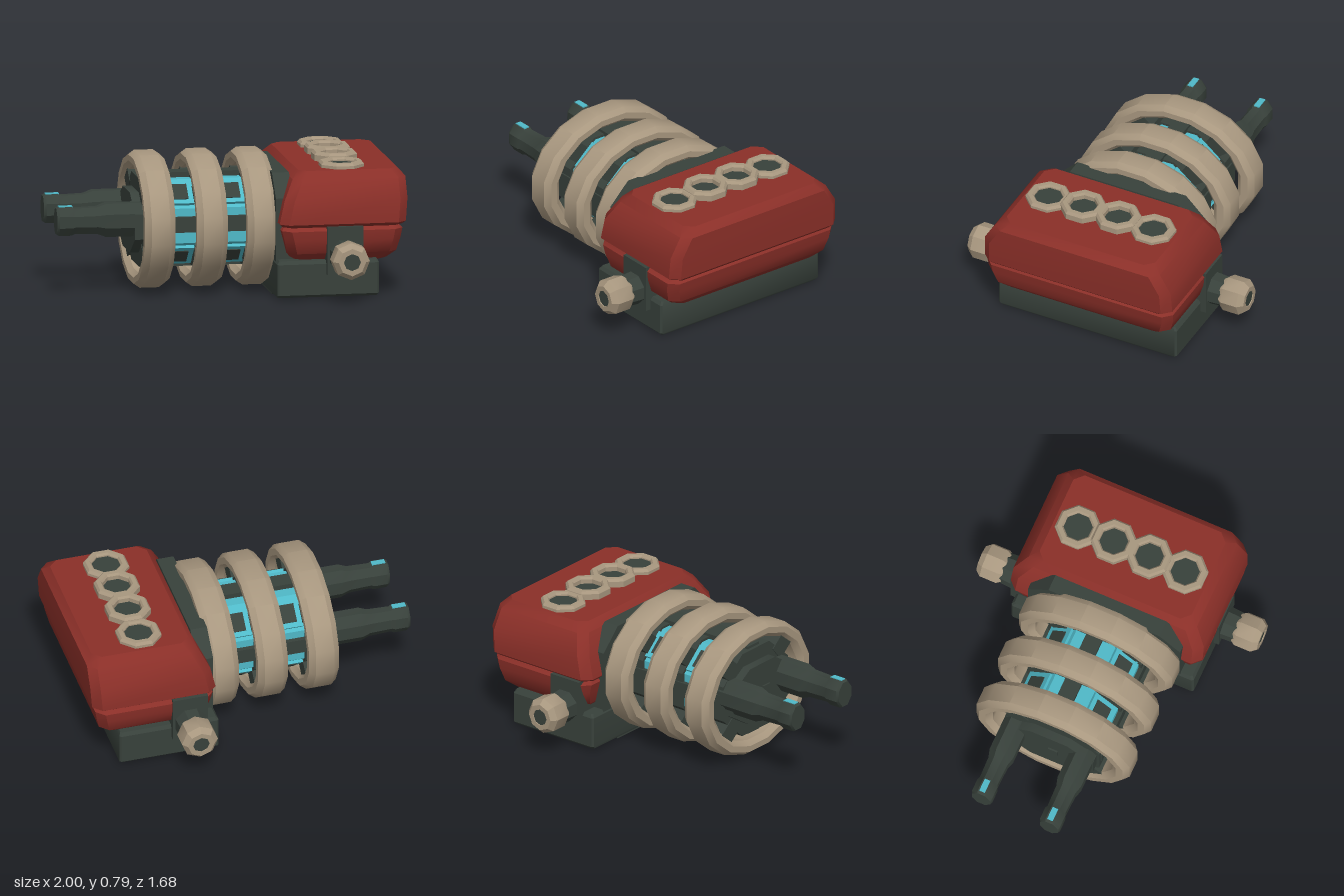
import * as THREE from 'three';
import { toCreasedNormals } from 'three/addons/utils/BufferGeometryUtils.js';

const mat = (name, color) => {
  const m = new THREE.MeshStandardMaterial({ color });
  m.name = name;
  return m;
};

export function createModel() {
  const red = mat('red paint', 0x8a2f28);
  const tan = mat('tan metal', 0xa8977f);
  const dark = mat('dark metal', 0x38413b);
  const cyan = mat('cyan glow', 0x4fb9c8);
  const model = new THREE.Group();

  const add = (name, geo, material, x = 0, y = 0, z = 0, parent = model) => {
    const mesh = new THREE.Mesh(toCreasedNormals(geo, 0.6), material);
    mesh.name = name;
    mesh.position.set(x, y, z);
    parent.add(mesh);
    return mesh;
  };
  const box = (w, h, d) => new THREE.BoxGeometry(w, h, d);
  const lathe = (pts, sides, turn = 0) =>
    new THREE.LatheGeometry(pts.map(p => new THREE.Vector2(...p)), sides, turn);

  // Stacked chamfered rectangles; level = [y, x0, x1, half depth, corner cut]
  const loft = (levels) => {
    const pos = [], idx = [];
    for (const [y, x0, x1, h, c] of levels) {
      const k = h - c;
      [[x1, k], [x1, -k], [x1 - c, -h], [x0 + c, -h], [x0, -k], [x0, k], [x0 + c, h], [x1 - c, h]]
        .forEach(([x, z]) => pos.push(x, y, z));
    }
    const top = (levels.length - 1) * 8;
    for (let j = 0; j < top; j += 8) {
      for (let i = 0; i < 8; i++) {
        const a = j + i, b = j + (i + 1) % 8;
        idx.push(a, b, b + 8, a, b + 8, a + 8);
      }
    }
    for (let i = 1; i < 7; i++) {
      idx.push(0, i + 1, i, top, top + i, top + i + 1);
    }
    const g = new THREE.BufferGeometry();
    g.setAttribute('position', new THREE.Float32BufferAttribute(pos, 3));
    g.setIndex(idx);
    g.computeVertexNormals();
    return g;
  };

  // Red housing in two shells over a dark base
  add('upperHousing', loft([
    [0.415, 0.27, 0.97, 0.58, 0.05], [0.435, 0.25, 0.99, 0.605, 0.05],
    [0.57, 0.28, 1.0, 0.6, 0.05], [0.685, 0.34, 1.0, 0.53, 0.05],
    [0.73, 0.38, 0.96, 0.48, 0.05]]), red);
  add('lowerHousing', loft([
    [0.21, 0.34, 0.89, 0.51, 0.05], [0.26, 0.3, 0.94, 0.57, 0.05],
    [0.34, 0.28, 0.96, 0.595, 0.05], [0.395, 0.265, 0.97, 0.6, 0.05],
    [0.415, 0.28, 0.95, 0.58, 0.05]]), red);
  add('base', loft([[0.005, 0.24, 0.82, 0.56, 0.01], [0.02, 0.235, 0.83, 0.575, 0.01],
    [0.2, 0.235, 0.83, 0.575, 0.01], [0.22, 0.25, 0.82, 0.56, 0.01]]), dark);
  const plate = loft([[0, -0.36, 0.35, 0.48, 0.13], [0.1, -0.36, 0.35, 0.48, 0.13]]);
  plate.rotateZ(Math.PI / 2);
  add('endPlate', plate, dark, 0.34, 0.355, 0.01);

  // Row of octagonal openings on top
  [-0.335, -0.11, 0.115, 0.34].forEach((z, i) => {
    const y = i === 1 || i === 2 ? 0.78 : 0.762;
    add('topPortRim', lathe([[0.085, 0.7], [0.135, 0.7], [0.135, y - 0.015], [0.122, y],
      [0.095, y], [0.085, y - 0.012], [0.085, 0.7]], 8, Math.PI / 8), tan, 0.65, 0, z);
    add('topPortWell', new THREE.CylinderGeometry(0.1, 0.1, 0.04, 8), dark, 0.65, 0.722, z);
  });

  // Side connectors, one on the front and one on the back
  for (const [x, turn] of [[0.625, 0], [0.415, Math.PI]]) {
    const port = new THREE.Group();
    port.name = 'sideConnector';
    port.position.set(x, 0.25, 0);
    port.rotation.y = turn;
    model.add(port);
    add('connectorBlock', box(0.21, 0.28, 0.16), dark, 0, 0.03, 0.53, port);
    const neck = new THREE.CylinderGeometry(0.09, 0.1, 0.15, 8, 1, false, Math.PI / 8);
    add('connectorNeck', neck.rotateX(Math.PI / 2), dark, 0, 0, 0.64, port);
    const knob = lathe([[0, 0.68], [0.09, 0.68], [0.108, 0.705], [0.108, 0.805],
      [0.08, 0.838], [0.05, 0.838], [0.05, 0.81]], 8);
    add('connectorKnob', knob.rotateX(Math.PI / 2), tan, 0, 0, 0, port);
    const hole = new THREE.CylinderGeometry(0.052, 0.052, 0.02, 8);
    add('connectorHole', hole.rotateX(Math.PI / 2), dark, 0, 0, 0.822, port);
  }

  // Drum section, lying along x and squashed to an oval
  const cy = 0.397, cz = 0.013;
  const drum = (name, length, ry, rz, x, material) => {
    const g = new THREE.CylinderGeometry(1, 1, length, 8, 1, false, Math.PI / 8);
    g.rotateZ(-Math.PI / 2).scale(1, ry, rz);
    return add(name, g, material, x, cy, cz);
  };
  drum('glowCore', 0.74, 0.265, 0.3, -0.12, cyan);
  drum('endHub', 0.1, 0.19, 0.3, -0.5, dark);
  add('hubPin', box(0.06, 0.06, 0.06), dark, -0.53, 0.4, 0.04);

  // Large oval hoops with a collar and spokes under each
  for (const x of [-0.433, -0.127, 0.167]) {
    const w = 0.09;
    const hoop = lathe([[0.78, -w + 0.03], [0.85, -w], [0.94, -w], [1, -w + 0.035], [1, w - 0.035],
      [0.94, w], [0.85, w], [0.78, w - 0.03], [0.78, -w + 0.03]], 16, Math.PI / 16);
    hoop.rotateZ(-Math.PI / 2).scale(1, 0.395, 0.492);
    add('hoop', hoop, tan, x, cy, cz);
    drum('collar', 0.13, 0.28, 0.32, x, dark);
    for (let k = 0; k < 4; k++) {
      const a = Math.PI / 4 + k * Math.PI / 2;
      const spoke = add('hoopSpoke', box(0.14, 0.16, 0.11), dark, x,
        cy + Math.sin(a) * 0.29, cz + Math.cos(a) * 0.35);
      spoke.rotation.x = -Math.atan2(Math.sin(a) * 0.29, Math.cos(a) * 0.35) + Math.PI / 2;
    }
  }

  // Dark rails along the core
  for (const s of [-1, 1]) {
    add('coreRailSide', box(0.72, 0.09, 0.06), dark, -0.12, cy + 0.01, cz + s * 0.275);
    add('coreRailEdge', box(0.72, 0.05, 0.1), dark, -0.12, cy + s * 0.25, cz);
  }

  // Dark and cyan blocks on the slanted core faces, one pair for each gap
  for (const x of [-0.28, 0.025]) {
    for (const sy of [-1, 1]) for (const sz of [-1, 1]) {
      const tilt = new THREE.Group();
      tilt.name = 'corePanel';
      tilt.position.set(x, cy + sy * 0.172, cz + sz * 0.195);
      tilt.rotation.x = -Math.atan2(sy * 0.195, sz * 0.172);
      model.add(tilt);
      add('panelFrame', box(0.16, 0.17, 0.03), cyan, 0, 0, 0.005, tilt);
      add('panelFace', box(0.1, 0.11, 0.008), dark, 0, 0, 0.021, tilt);
    }
  }

  // Twin shafts at the far end
  for (const z of [-0.215, 0.213]) {
    const shaft = lathe([[0, 0.44], [0.105, 0.44], [0.105, 0.71], [0.085, 0.76], [0.08, 0.89],
      [0.09, 0.91], [0.09, 0.985], [0.08, 1], [0, 1]], 8, Math.PI / 8);
    shaft.rotateZ(Math.PI / 2).scale(1, 1, 0.76);
    add('shaft', shaft, dark, 0, 0.435, z);
    add('shaftLight', box(0.08, 0.008, 0.035), cyan, -0.945, 0.519, z);
  }
  return model;
}
